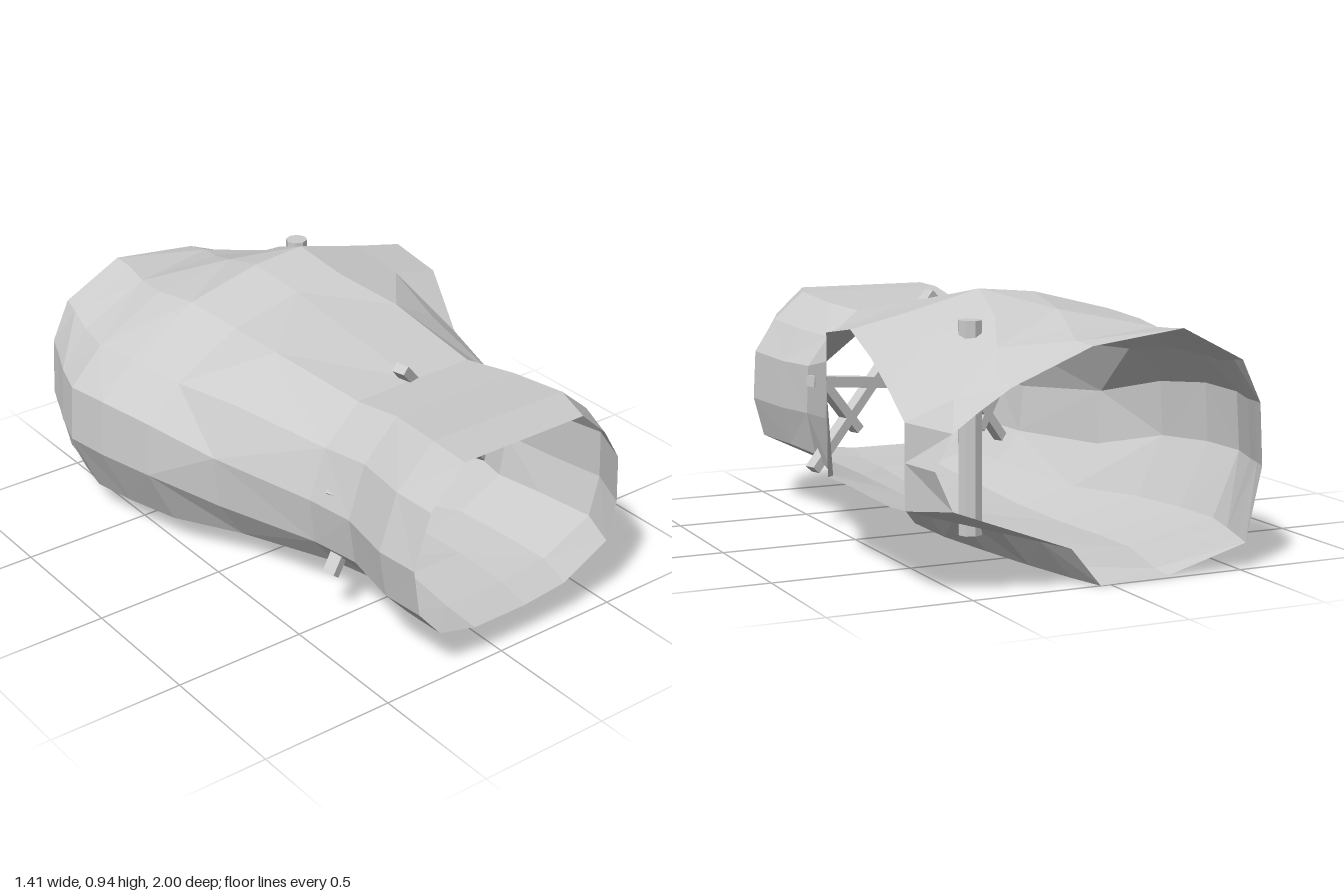
import * as THREE from 'three';

const rock = new THREE.MeshStandardMaterial({ color: 0xcccccc, flatShading: true, side: THREE.DoubleSide });

// Outline shapes in a unit box: right wall (3 points), roof, left wall, floor, floor step
const mouthShape = [.96, .18, 1, .4, .99, .67, .91, .85, .79, 1, .5, 1, .22, 1, .07, .79, 0, .49, .03, .22, .13, .06, .3, 0, .55, 0, .75, .03];
const chamberShape = [1, .28, 1, .62, 1, .87, .86, .92, .66, 1, .51, .98, .3, .9, .11, .73, .01, .58, 0, .34, .08, .08, .32, 0, .755, .055, .83, .21];
const forkShape = [.95, .35, 1, .51, .95, .65, .87, .73, .78, .81, .54, .95, .26, 1, .07, .86, .01, .68, 0, .42, .05, .11, .3, .01, .51, 0, .6, .16];
const shapes = [mouthShape, chamberShape, forkShape];

// Stations front to back: z, left, right, bottom, top, shape (0 mouth, 1 chamber, 2 fork)
const stations = [
  [1, -.4, .51, .15, .82, 0],
  [.83, -.41, .59, .14, .82, 0],
  [.6, -.36, .56, .14, .8, 0],
  [.4, -.38, .53, .12, .785, .15],
  [0, -.51, .61, .07, .85, .4],
  [-.25, -.63, .7, .05, .9, 1],
  [-.47, -.69, .7, .04, .94, 1],
  [-.65, -.71, .7, .03, .9, 1.2],
  [-.8, -.66, .7, .02, .86, 1.5],
  [-.92, -.61, .7, .01, .84, 1.85],
  [-1, -.58, .63, 0, .835, 2],
];
const sideOpening = { first: 5, last: 9 };
const count = mouthShape.length / 2;

// Blend the two nearest shapes and fit the outline to the station's box
function outline([z, left, right, bottom, top, shape], s) {
  const k = Math.min(Math.floor(shape), 1);
  const points = [];
  for (let i = 0; i < count; i++) {
    const u = THREE.MathUtils.lerp(shapes[k][2 * i], shapes[k + 1][2 * i], shape - k);
    const v = THREE.MathUtils.lerp(shapes[k][2 * i + 1], shapes[k + 1][2 * i + 1], shape - k);
    // the lips of the side opening lie in one plane
    const onLip = i < 3 && s >= sideOpening.first && s <= sideOpening.last;
    points.push(onLip ? right : left + u * (right - left), bottom + v * (top - bottom), z);
  }
  return points;
}

function tunnelGeometry() {
  const index = [];
  for (let s = 0; s + 1 < stations.length; s++)
    for (let i = 0; i < count; i++) {
      // the side passage leaves the right wall open
      if (i < 2 && s >= sideOpening.first && s < sideOpening.last) continue;
      const a = s * count + i, b = s * count + (i + 1) % count, c = a + count, d = b + count;
      if ((s + i) % 2) index.push(a, c, b, b, c, d);
      else index.push(a, c, d, a, d, b);
    }
  const indexed = new THREE.BufferGeometry();
  indexed.setAttribute('position', new THREE.Float32BufferAttribute(stations.flatMap(outline), 3));
  indexed.setIndex(index);
  const flat = indexed.toNonIndexed();
  flat.computeVertexNormals();
  return flat;
}

// Square timber between two points of the frame plane
function beam(name, x1, y1, x2, y2, width = 0.035) {
  const m = new THREE.Mesh(new THREE.BoxGeometry(Math.hypot(x2 - x1, y2 - y1), width, 0.05), rock);
  m.position.set((x1 + x2) / 2, (y1 + y2) / 2, 0);
  m.rotation.z = Math.atan2(y2 - y1, x2 - x1);
  m.name = name;
  return m;
}

export function createModel() {
  const model = new THREE.Group();
  model.name = 'caveTunnel';

  const shell = new THREE.Mesh(tunnelGeometry(), rock);
  shell.name = 'tunnelShell';
  model.add(shell);

  // Timber frame standing slightly skewed across the narrow part
  const frame = new THREE.Group();
  frame.name = 'timberFrame';
  frame.position.z = 0.4;
  frame.rotation.y = Math.atan(0.26);
  frame.add(
    beam('rightRafter', 0.02, 0.84, 0.585, 0.22),
    beam('leftRafter', 0.09, 0.77, -0.37, 0.19),
    beam('crossBeam', -0.36, 0.455, 0.59, 0.55, 0.04),
    beam('leftBrace', -0.35, 0.52, -0.21, 0.29),
    beam('rightBrace', 0.53, 0.53, 0.38, 0.35),
  );
  model.add(frame);

  // Post propping the roof where the two passages part
  const post = new THREE.Mesh(new THREE.CylinderGeometry(0.042, 0.042, 0.72, 8), rock);
  post.name = 'roofPost';
  post.position.set(0.36, 0.5, -0.68);
  model.add(post);

  return model;
}
